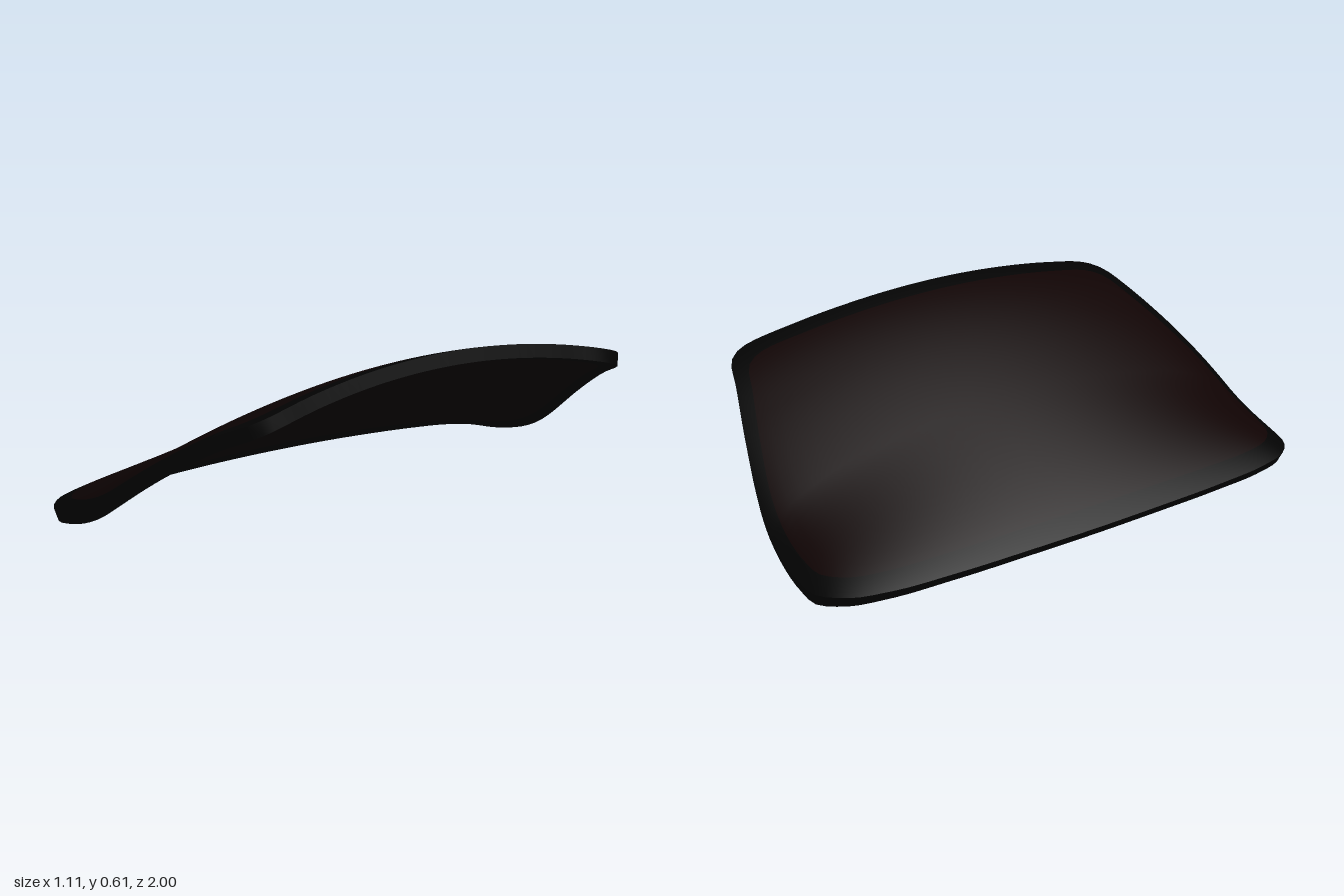
import * as THREE from 'three';

const SEGMENTS = 144;
const THICKNESS = 0.047;
const { smoothstep } = THREE.MathUtils;

// Sloping centre profile that bends down toward both sides
function sheet(x, z) {
  const profile = 0.39 + 0.525 * x - 0.1 * x ** 2 - 0.094 * x ** 3 - 0.215 * x ** 4;
  const bend = 0.075 + 0.115 * smoothstep(x, -0.56, -0.05) - 0.008 * smoothstep(x, 0.25, 0.55);
  return profile - bend * z * z;
}

// The sheet with its side rims curled down
const curled = (x, z) => sheet(x, z) - 0.04 * z ** 14;

function normalAt(surface, x, z) {
  const e = 0.004;
  return new THREE.Vector3(
    (surface(x - e, z) - surface(x + e, z)) / (2 * e), 1,
    (surface(x, z - e) - surface(x, z + e)) / (2 * e)).normalize();
}

// Outline in plan, one half mirrored to the other
function makeOutline() {
  const half = [
    [-0.558, 0], [-0.551, 0.3], [-0.535, 0.55], [-0.505, 0.78], [-0.46, 0.91],
    [-0.38, 0.985], [-0.29, 1], [-0.15, 0.998], [0, 0.977], [0.2, 0.917],
    [0.4, 0.845], [0.495, 0.812], [0.525, 0.785], [0.543, 0.735], [0.532, 0.55],
    [0.519, 0.3], [0.514, 0],
  ];
  const mirrored = half.slice(1, -1).reverse().map(([x, z]) => [x, -z]);
  const points = [...half, ...mirrored].map(([x, z]) => new THREE.Vector3(x, 0, z));
  const curve = new THREE.CatmullRomCurve3(points, true, 'centripetal');
  return curve.getSpacedPoints(SEGMENTS);
}

// Joins closed loops of points into a skin; each loop is [{ p, n }]
function skin(loops, flip) {
  const position = [], normal = [], index = [];
  const w = SEGMENTS + 1;
  for (const loop of loops) {
    for (const { p, n } of loop) {
      position.push(p.x, p.y, p.z);
      normal.push(n.x, n.y, n.z);
    }
  }
  for (let r = 0; r < loops.length - 1; r++) {
    for (let i = 0; i < SEGMENTS; i++) {
      const a = r * w + i, b = a + w, c = b + 1, d = a + 1;
      if (flip) index.push(a, c, b, a, d, c);
      else index.push(a, b, c, a, c, d);
    }
  }
  const geometry = new THREE.BufferGeometry();
  geometry.setAttribute('position', new THREE.Float32BufferAttribute(position, 3));
  geometry.setAttribute('normal', new THREE.Float32BufferAttribute(normal, 3));
  geometry.setIndex(index);
  return geometry;
}

export function createModel() {
  const model = new THREE.Group();
  model.name = 'windshield';
  const outline = makeOutline();
  const glassMaterial = new THREE.MeshStandardMaterial({ color: 0x0e0202 });
  const borderMaterial = new THREE.MeshStandardMaterial({ color: 0x020202 });

  // A loop on the outer face, or pushed inward by depth
  const loop = (sx, sz, depth, side) => outline.map((o) => {
    const x = o.x * sx, z = o.z * sz;
    const p = new THREE.Vector3(x, curled(x, z), z);
    p.addScaledVector(normalAt(sheet, x, z), -depth);
    return { p, n: normalAt(curled, x, z).multiplyScalar(side) };
  });

  const add = (name, geometry, material) => {
    const mesh = new THREE.Mesh(geometry, material);
    mesh.name = name;
    model.add(mesh);
  };

  const GX = 0.88, GZ = 0.955; // glass size relative to the outline
  for (const [face, depth, side] of [['outer', 0, 1], ['inner', THICKNESS, -1]]) {
    // Glass pane
    const pane = [];
    for (let i = 0; i <= 20; i++) pane.push(loop(GX * i / 20, GZ * i / 20, depth, side));
    add(face + 'Glass', skin(pane, side < 0), glassMaterial);

    // Dark border around the pane
    const border = [];
    for (let i = 0; i <= 4; i++) {
      border.push(loop(GX + (1 - GX) * i / 4, GZ + (1 - GZ) * i / 4, depth, side));
    }
    add(face + 'Border', skin(border, side < 0), borderMaterial);
  }

  // Edge wall closing the two faces
  const edge = skin([loop(1, 1, 0, 1), loop(1, 1, THICKNESS, 1)], false);
  edge.computeVertexNormals();
  add('edge', edge, borderMaterial);

  // Rest on the ground
  model.position.y = -new THREE.Box3().setFromObject(model, true).min.y;
  return model;
}
